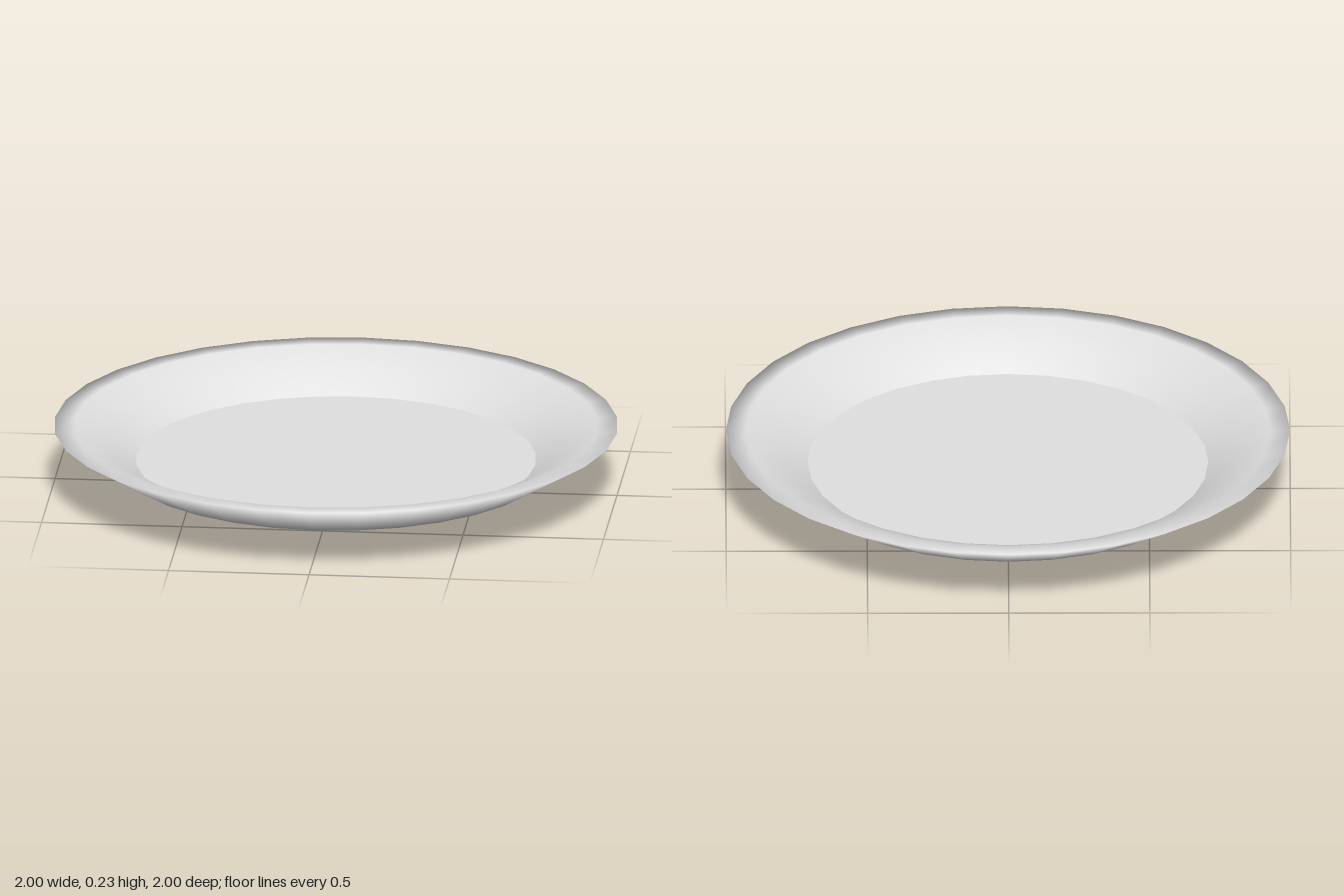
import * as THREE from 'three';

const SIDES = 32;
const FLOOR_RADIUS = 0.71;
const FLOOR_HEIGHT = 0.105;

export function createModel() {
  const plate = new THREE.Group();
  plate.name = 'plate';

  const ceramic = new THREE.MeshStandardMaterial({ color: 0xe0e0e0 });
  ceramic.name = 'paleGreyCeramic';

  // Shell: underside, sloping outer wall, rim and inner wall in one smooth profile
  const profile = [
    [0, 0], [0.35, 0], [0.6, 0.06], [0.77, 0.09],
    [1, 0.23],
    [0.93, 0.228], [0.8, 0.17], [FLOOR_RADIUS, FLOOR_HEIGHT],
  ].map(([r, y]) => new THREE.Vector2(r, y));
  const shellGeometry = new THREE.LatheGeometry(profile, SIDES);

  // Soften the thin rim by turning its normals outward and slightly up
  const rimIndex = 4;
  const normals = shellGeometry.attributes.normal;
  for (let i = 0; i <= SIDES; i++) {
    const angle = (i / SIDES) * Math.PI * 2;
    normals.setXYZ(i * profile.length + rimIndex, 0.9 * Math.sin(angle), 0.43, 0.9 * Math.cos(angle));
  }
  const shell = new THREE.Mesh(shellGeometry, ceramic);
  shell.name = 'shell';
  plate.add(shell);

  // Flat eating surface, with a sharp edge against the inner wall
  const floorGeometry = new THREE.CircleGeometry(FLOOR_RADIUS, SIDES).rotateX(-Math.PI / 2);
  const floor = new THREE.Mesh(floorGeometry, ceramic);
  floor.name = 'floor';
  floor.position.y = FLOOR_HEIGHT;
  plate.add(floor);

  return plate;
}
